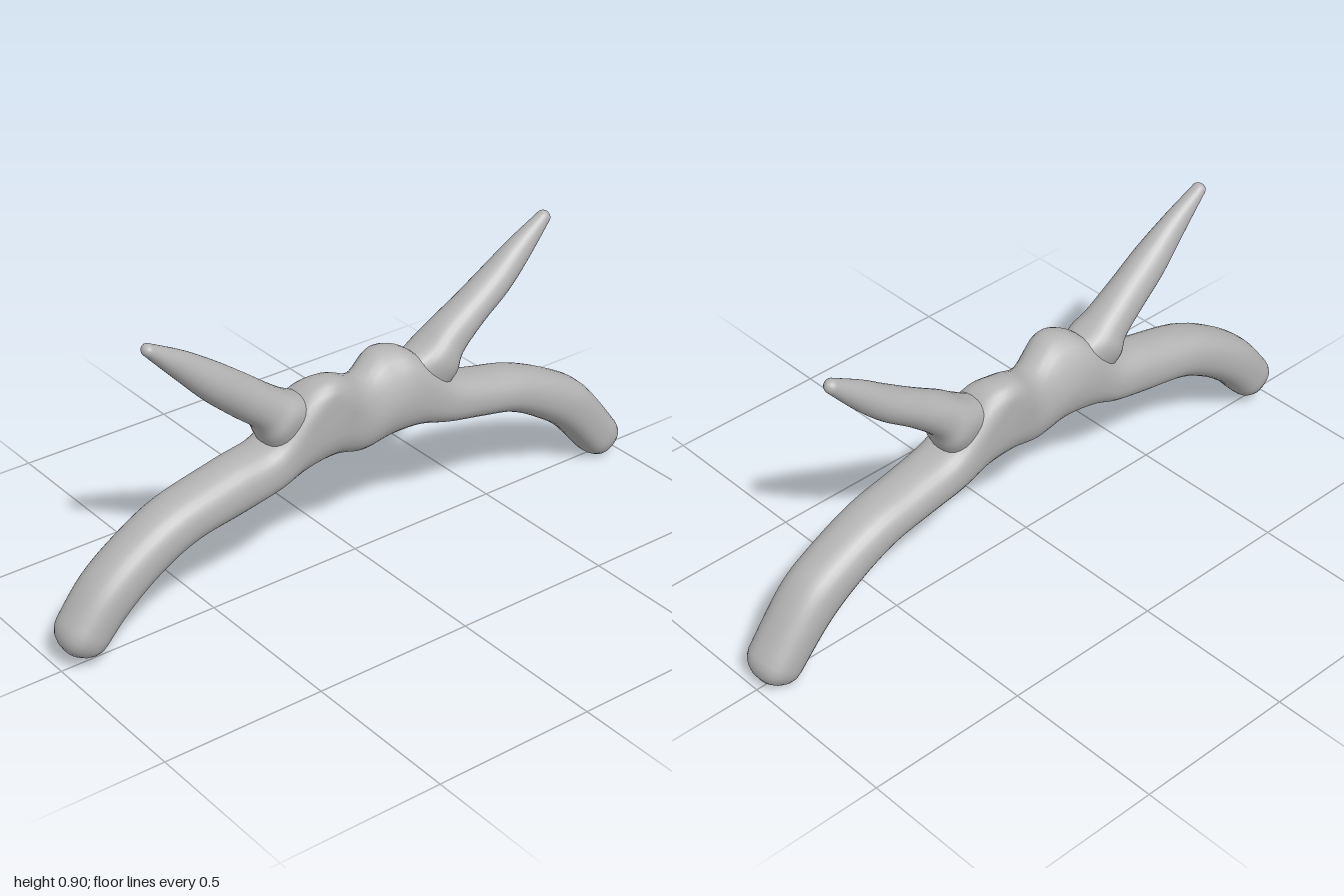
import * as THREE from 'three';

const SIDES = 28, STEPS = 5, MAX_DEPTH = 0.086;

// Each station: [lower x, lower y, upper x, upper y, half depth, squareness, z shift of upper edge]
const ARCH = [
  [-0.87, 0.065, -0.985, 0.145, 0.078, 2.5, 0],
  [-0.80, 0.14, -0.90, 0.25, 0.083, 2.4, 0],
  [-0.70, 0.215, -0.79, 0.335, 0.084, 2.3, 0],
  [-0.58, 0.275, -0.65, 0.408, 0.085, 2.3, 0],
  [-0.42, 0.305, -0.45, 0.46, 0.085, 2.3, 0],
  [-0.30, 0.335, -0.31, 0.49, 0.086, 2.5, 0],
  [-0.21, 0.362, -0.20, 0.603, 0.086, 2.6, 0.01],
  [-0.10, 0.37, -0.11, 0.63, 0.084, 2.4, 0.03],
  [0.00, 0.347, 0.00, 0.585, 0.076, 2.3, 0],
  [0.10, 0.365, 0.10, 0.62, 0.084, 2.4, -0.03],
  [0.20, 0.365, 0.19, 0.60, 0.086, 2.6, -0.01],
  [0.30, 0.34, 0.31, 0.49, 0.086, 2.5, 0],
  [0.42, 0.315, 0.44, 0.45, 0.085, 2.3, 0],
  [0.55, 0.285, 0.60, 0.412, 0.085, 2.3, 0],
  [0.68, 0.215, 0.75, 0.345, 0.084, 2.3, 0],
  [0.78, 0.14, 0.86, 0.27, 0.083, 2.4, 0],
  [0.875, 0.035, 0.988, 0.11, 0.078, 2.5, 0],
];
const RIGHT_HORN = [
  [-0.69, 0.868, -0.665, 0.895, 0.022, 2, 0],
  [-0.60, 0.77, -0.56, 0.84, 0.037, 2, 0],
  [-0.51, 0.675, -0.46, 0.775, 0.053, 2, 0],
  [-0.42, 0.595, -0.37, 0.71, 0.06, 2, 0],
  [-0.355, 0.54, -0.27, 0.635, 0.068, 2.2, 0],
  [-0.33, 0.49, -0.21, 0.60, 0.078, 2.4, 0],
  [-0.30, 0.42, -0.10, 0.55, 0.05, 2.2, 0],
];
const LEFT_HORN = [
  [0.30, 0.42, 0.10, 0.55, 0.05, 2.2, 0],
  [0.335, 0.49, 0.22, 0.60, 0.078, 2.4, 0],
  [0.36, 0.545, 0.30, 0.655, 0.068, 2.2, 0],
  [0.44, 0.615, 0.39, 0.71, 0.06, 2, 0],
  [0.53, 0.68, 0.49, 0.775, 0.053, 2, 0],
  [0.61, 0.755, 0.57, 0.83, 0.04, 2, 0],
  [0.698, 0.855, 0.67, 0.888, 0.022, 2, 0],
];

// Catmull-Rom blend of two neighbouring stations
function blend(stations, i, t) {
  const at = k => stations[Math.min(Math.max(k, 0), stations.length - 1)];
  return at(i).map((p1, k) => {
    const p0 = at(i - 1)[k], p2 = at(i + 1)[k], p3 = at(i + 2)[k];
    return p1 + 0.5 * t * (p2 - p0 + t * (2 * p0 - 5 * p1 + 4 * p2 - p3
      + t * (3 * (p1 - p2) + p3 - p0)));
  });
}

// Rounded end: shrinking rings pushed along the direction of travel
function cap(station, sign) {
  const [ax, ay, bx, by, depth, e, shift] = station;
  const cx = (ax + bx) / 2, cy = (ay + by) / 2;
  const ux = (bx - ax) / 2, uy = (by - ay) / 2;
  return [0.2, 0.4, 0.6, 0.8, 0.93, 1].map(f => {
    const a = f * Math.PI / 2, s = Math.max(Math.cos(a), 0.001), d = sign * Math.sin(a);
    const x = cx + uy * d, y = cy - ux * d;
    return [x - ux * s, y - uy * s, x + ux * s, y + uy * s, depth * s, e, shift];
  });
}

// Closed limb through oval cross-sections
function limb(name, stations, material) {
  const rings = [...cap(stations[0], -1).reverse()];
  for (let i = 0; i < stations.length - 1; i++)
    for (let s = 0; s < STEPS; s++) rings.push(blend(stations, i, s / STEPS));
  const last = stations[stations.length - 1];
  rings.push(last, ...cap(last, 1));

  const positions = [], indices = [];
  const power = (v, e) => Math.sign(v) * Math.abs(v) ** (2 / e);
  rings.forEach(([ax, ay, bx, by, depth, e, shift], i) => {
    for (let j = 0; j < SIDES; j++) {
      const a = j / SIDES * Math.PI * 2;
      const c = power(Math.cos(a), e), s = power(Math.sin(a), e);
      const z = depth * s + shift * Math.max(0, c);
      positions.push((ax + bx) / 2 + (bx - ax) / 2 * c, (ay + by) / 2 + (by - ay) / 2 * c,
        THREE.MathUtils.clamp(z, -MAX_DEPTH, MAX_DEPTH));
      if (i === rings.length - 1) continue;
      const p = i * SIDES + j, q = i * SIDES + (j + 1) % SIDES;
      indices.push(p, q, p + SIDES, q, q + SIDES, p + SIDES);
    }
  });
  const geometry = new THREE.BufferGeometry();
  geometry.setAttribute('position', new THREE.Float32BufferAttribute(positions, 3));
  geometry.setIndex(indices);
  geometry.computeVertexNormals();
  const mesh = new THREE.Mesh(geometry, material);
  mesh.name = name;
  return mesh;
}

export function createModel() {
  const grey = new THREE.MeshStandardMaterial({ color: 0xb4b4b4 });
  grey.name = 'plain grey';
  const model = new THREE.Group();
  model.name = 'hornedArch';
  model.add(
    limb('archBody', ARCH, grey),
    limb('rightHorn', RIGHT_HORN, grey),
    limb('leftHorn', LEFT_HORN, grey),
  );
  return model;
}
